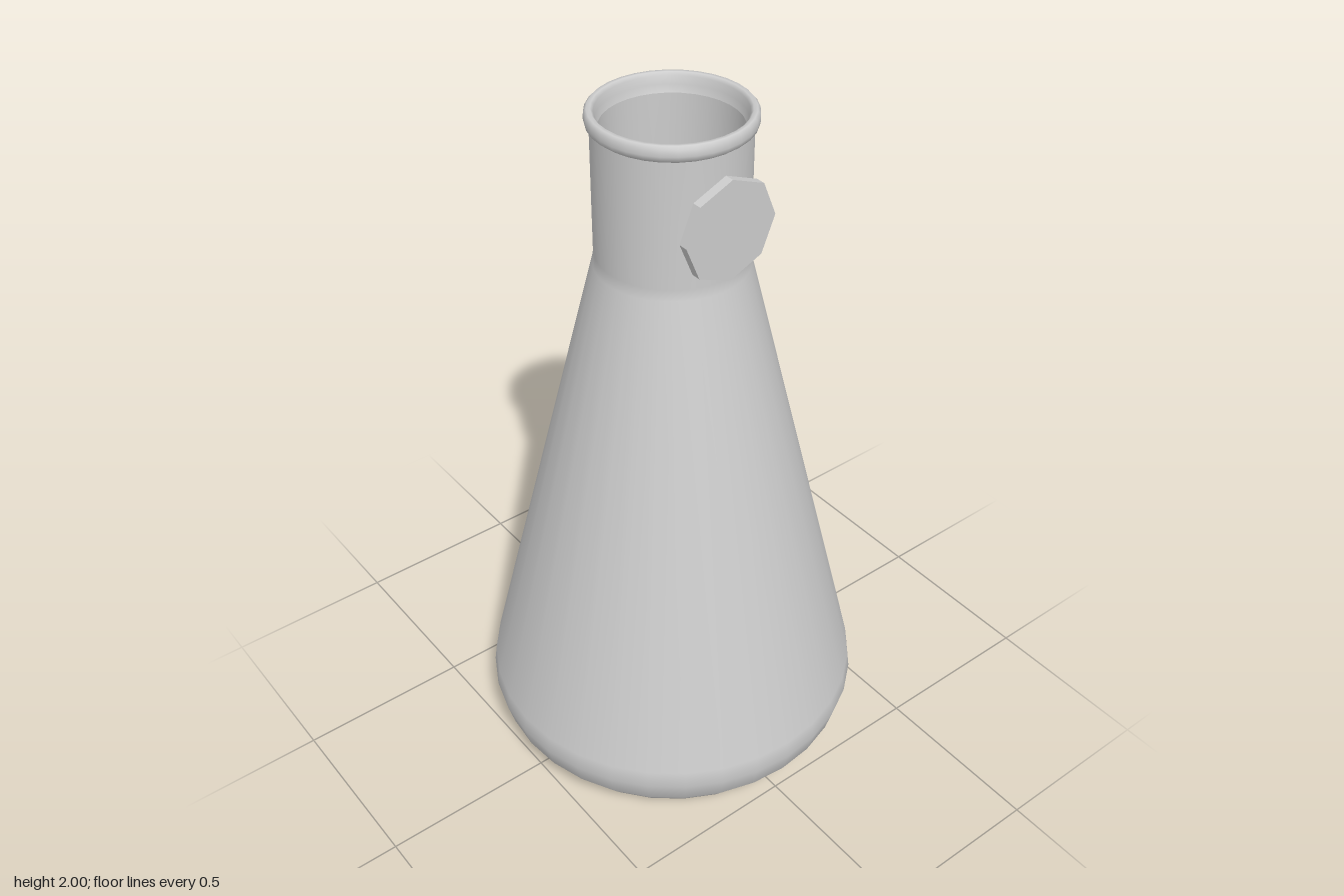
import * as THREE from 'three';

const SEGMENTS = 32;

function lathe(name, profile, material) {
  const points = profile.map(([r, y]) => new THREE.Vector2(r, y));
  const mesh = new THREE.Mesh(new THREE.LatheGeometry(points, SEGMENTS), material);
  mesh.name = name;
  return mesh;
}

export function createModel() {
  const group = new THREE.Group();
  group.name = 'conicalFlask';
  const glass = new THREE.MeshStandardMaterial({ color: 0xcccccc });
  const flat = new THREE.MeshStandardMaterial({ color: 0xcccccc, flatShading: true });

  // Flat underside
  group.add(lathe('base', [[0, 0], [0.36, 0]], glass));

  // Rounded heel, conical body and straight neck
  group.add(lathe('body', [
    [0.36, 0], [0.425, 0.015], [0.485, 0.052], [0.527, 0.108],
    [0.545, 0.175], [0.538, 0.225], [0.205, 1.58], [0.2, 1.61], [0.2, 1.955],
  ], glass));

  // Rolled lip around the mouth
  group.add(lathe('lip', [
    [0.2, 1.955], [0.21, 1.963], [0.213, 1.975], [0.212, 1.992], [0.205, 2],
    [0.195, 2], [0.188, 1.992], [0.186, 1.97], [0.18, 1.95],
  ], glass));

  // Hollow inside, running from the lip down to the floor
  group.add(lathe('innerWall', [
    [0.18, 1.95], [0.18, 1.61], [0.185, 1.58], [0.518, 0.225], [0.525, 0.175],
    [0.508, 0.115], [0.47, 0.066], [0.415, 0.033], [0.355, 0.02],
  ], glass));
  group.add(lathe('innerFloor', [[0.355, 0.02], [0, 0.02]], glass));

  // Eight-sided tag on the front of the neck
  const tag = new THREE.Mesh(new THREE.CylinderGeometry(0.137, 0.137, 0.026, 8), flat);
  tag.name = 'neckTag';
  tag.rotation.x = Math.PI / 2;
  tag.position.set(0, 1.765, 0.218);
  group.add(tag);

  return group;
}
